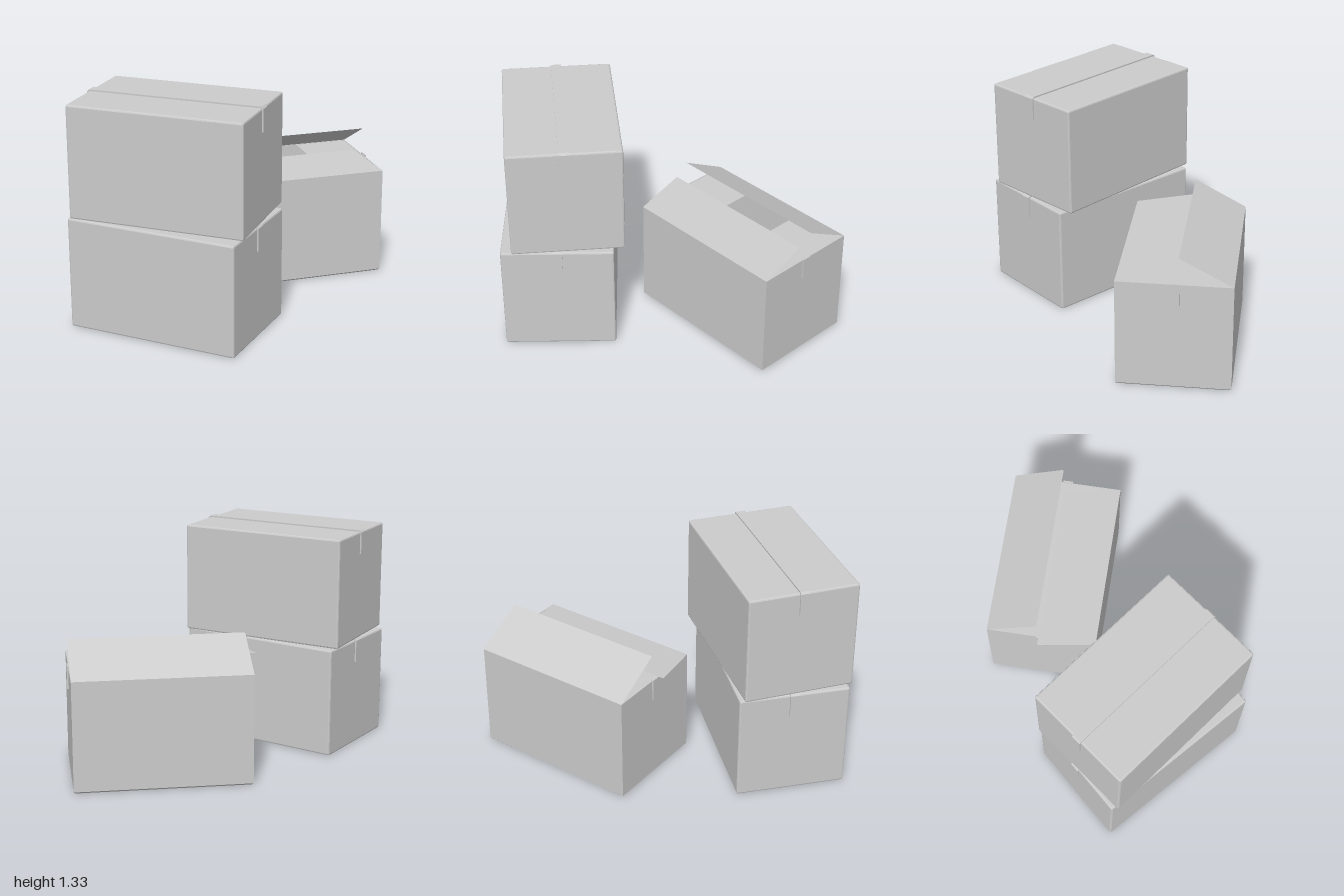
import * as THREE from 'three';
import { RoundedBoxGeometry } from 'three/addons/geometries/RoundedBoxGeometry.js';

const W = 1.022, H = 0.655, D = 0.655;   // carton size
const EDGE = 0.01;                       // softened carton edge
const TAPE_W = 0.06, TAPE_T = 0.009, TAPE_DROP = 0.135;

const card = new THREE.MeshStandardMaterial({ color: 0xcccccc, flatShading: true });
const thinCard = new THREE.MeshStandardMaterial({ color: 0xcccccc, flatShading: true, side: THREE.DoubleSide });

function add(parent, name, geometry, material = card) {
  const mesh = new THREE.Mesh(geometry, material);
  mesh.name = name;
  parent.add(mesh);
  return mesh;
}

// Tape strip over the top, folded down both ends
function tapeGeometry() {
  const a = W / 2 - 0.002, b = W / 2 + TAPE_T, top = H + TAPE_T, low = H - TAPE_DROP, c = 0.012;
  const shape = new THREE.Shape([
    [-b, low], [-a, low], [-a, H - 0.002], [a, H - 0.002], [a, low], [b, low],
    [b, top - c], [b - c, top], [-b + c, top], [-b, top - c],
  ].map(([x, y]) => new THREE.Vector2(x, y)));
  return new THREE.ExtrudeGeometry(shape, { depth: TAPE_W, bevelEnabled: false })
    .translate(0, 0, -TAPE_W / 2);
}

function closedBox(name) {
  const box = new THREE.Group();
  box.name = name;
  add(box, 'carton', new RoundedBoxGeometry(W, H, D, 1, EDGE).translate(0, H / 2, 0));
  add(box, 'tape', tapeGeometry());
  return box;
}

// Flat flap: a hinge edge a-b swept along an offset
function flapGeometry(a, b, offset) {
  const [A, B, O] = [a, b, offset].map((p) => new THREE.Vector3(...p));
  const points = [A, B, B.clone().add(O), A.clone().add(O)];
  const geometry = new THREE.BufferGeometry().setFromPoints(points);
  geometry.setIndex([0, 1, 2, 0, 2, 3]);
  geometry.computeVertexNormals();
  return geometry;
}

function rectangle(Type, w, d) {
  return new Type([[-w, -d], [w, -d], [w, d], [-w, d]]
    .map(([x, y]) => new THREE.Vector2(x / 2, y / 2)));
}

function openBox(name) {
  const box = new THREE.Group();
  box.name = name;

  // Hollow walls
  const ring = rectangle(THREE.Shape, W, D);
  ring.holes.push(rectangle(THREE.Path, W - 0.012, D - 0.012));
  add(box, 'walls', new THREE.ExtrudeGeometry(ring, { depth: H - EDGE, bevelEnabled: false })
    .rotateX(-Math.PI / 2).translate(0, EDGE, 0));

  // Floor with a chamfered lower edge
  const floor = new THREE.BoxGeometry(W, EDGE, D).translate(0, EDGE / 2, 0);
  const p = floor.attributes.position;
  for (let i = 0; i < p.count; i++) {
    if (p.getY(i) > EDGE / 2) continue;
    p.setX(i, p.getX(i) - Math.sign(p.getX(i)) * EDGE);
    p.setZ(i, p.getZ(i) - Math.sign(p.getZ(i)) * EDGE);
  }
  add(box, 'floor', floor);

  // Long flaps: back one raised, front one almost shut and slightly askew
  const x = W / 2, z = D / 2;
  add(box, 'backFlap', flapGeometry([x, H, -z], [-x, H, -z], [0.005, 0.165, 0.303]), thinCard);
  add(box, 'frontFlap', flapGeometry([-x, H, z], [x, H, z], [-0.065, 0.035, -0.34]), thinCard);

  for (const side of [-1, 1]) {
    // Short end flaps folded in, and the loose tape ends
    add(box, 'endFlap', flapGeometry([side * x, H - 0.002, side * z], [side * x, H - 0.002, -side * z],
      [-side * 0.33, 0, 0]), thinCard);
    add(box, 'tapeEnd', new THREE.BoxGeometry(TAPE_T, TAPE_DROP, TAPE_W)
      .translate(side * (x + TAPE_T / 2), H + 0.006 - TAPE_DROP / 2, 0));
  }
  return box;
}

export function createModel() {
  const model = new THREE.Group();
  model.name = 'cardboardBoxes';

  const lower = closedBox('lowerBox');
  lower.position.set(-0.182, 0, 0.625);
  lower.rotation.y = THREE.MathUtils.degToRad(-5);

  const upper = closedBox('upperBox');
  upper.position.set(-0.182, H + TAPE_T, 0.603);

  const open = openBox('openBox');
  open.position.set(0.118, 0, -0.436);
  open.rotation.y = THREE.MathUtils.degToRad(37);

  model.add(lower, upper, open);
  return model;
}
